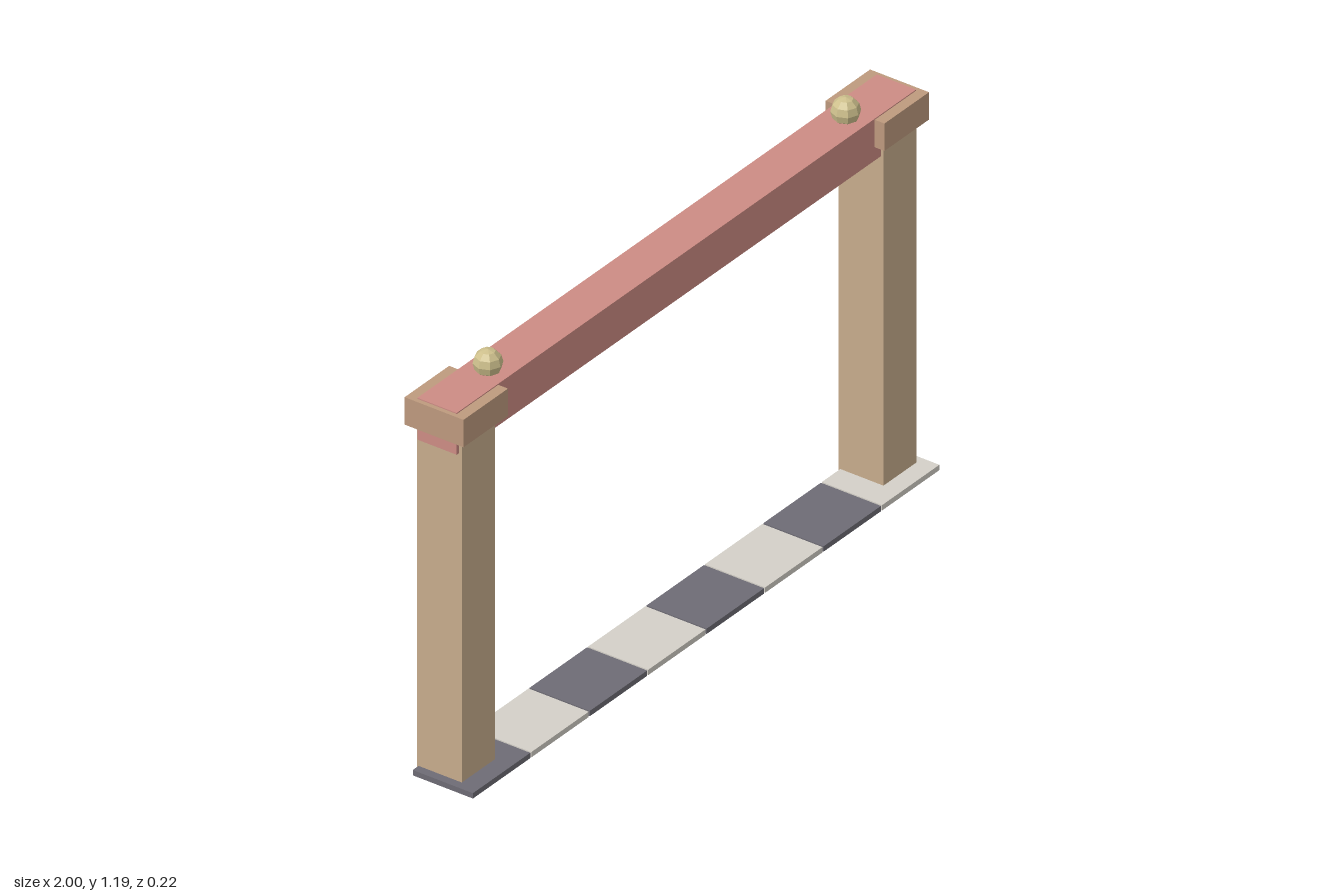
import * as THREE from 'three';

const paint = (color) => new THREE.MeshStandardMaterial({ color, flatShading: true });

export function createModel() {
  const model = new THREE.Group();
  model.name = 'gateway';
  const postPaint = paint(0xc8ad8d);
  const capPaint = paint(0xbe9a7e);
  const beamPaint = paint(0xcd8c84);
  const finialPaint = paint(0xcdbf8c);
  const tilePaints = [paint(0x6e6c75), paint(0xd4d0c8)];
  const zFrame = -0.016;

  const add = (name, geometry, material, x, y, z) => {
    const mesh = new THREE.Mesh(geometry, material);
    mesh.name = name;
    mesh.position.set(x, y, z);
    model.add(mesh);
  };

  // posts, their caps and the faceted ball finials, mirrored
  const post = new THREE.BoxGeometry(0.142, 1.045, 0.142);
  const cap = new THREE.BoxGeometry(0.191, 0.082, 0.187);
  const ball = new THREE.SphereGeometry(0.04, 8, 6);
  for (const [side, s] of [['left', 1], ['right', -1]]) {
    add(side + 'Post', post, postPaint, s * 0.904, 0.5225, zFrame);
    add(side + 'PostCap', cap, capPaint, s * 0.9025, 1.085, zFrame);
    add(side + 'Finial', ball, finialPaint, s * 0.767, 1.151, zFrame);
  }

  // crossbeam, running through the caps and just proud of their tops
  add('crossbeam', new THREE.BoxGeometry(1.97, 0.125, 0.125), beamPaint, 0, 1.0665, zFrame);

  // chequered threshold strip
  const tile = new THREE.BoxGeometry(0.246, 0.016, 0.191);
  for (let i = 0; i < 8; i++) {
    add('thresholdTile' + (i + 1), tile, tilePaints[i % 2], (i - 3.5) * 0.2506, 0.014, 0.0135);
  }
  return model;
}
